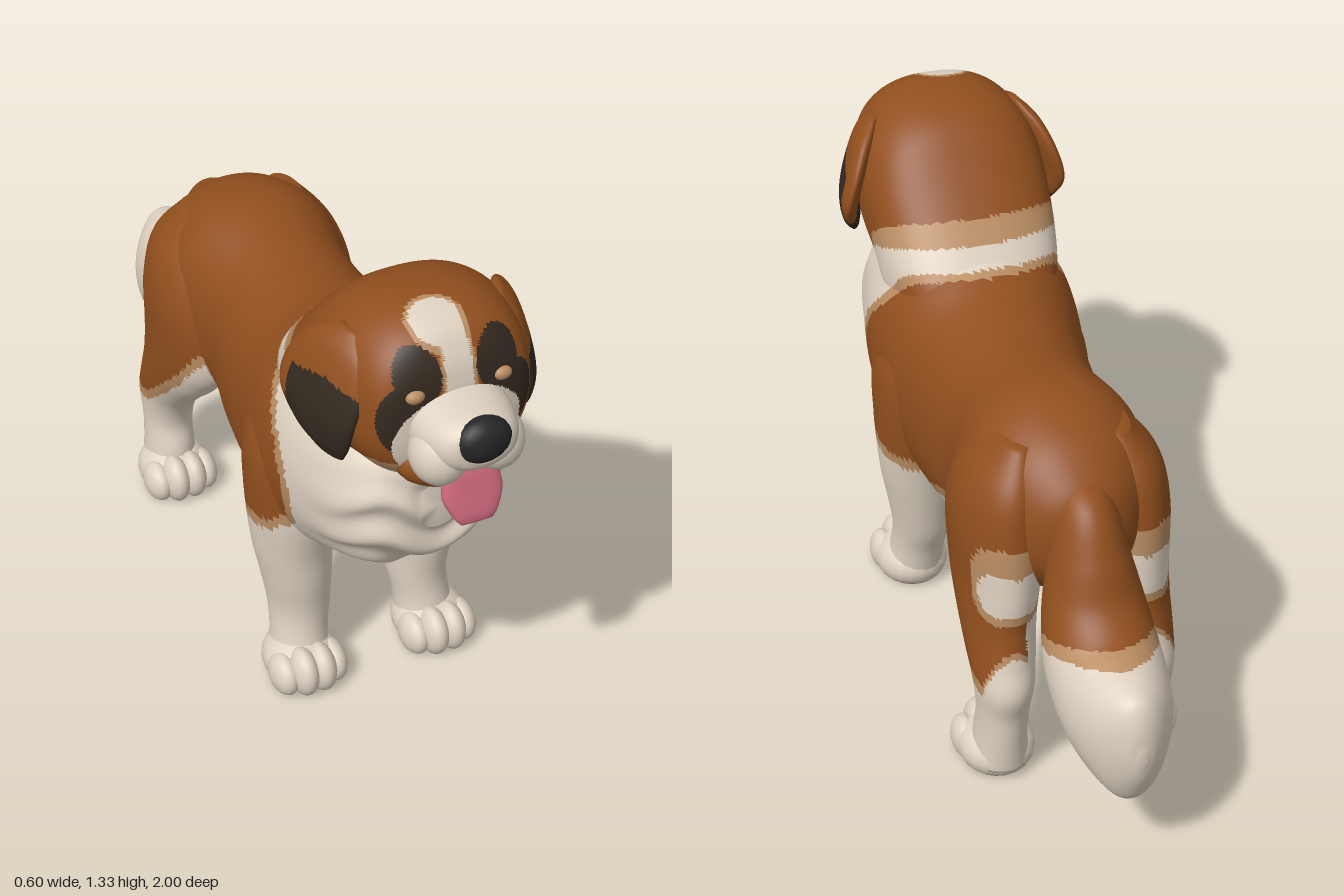
import * as THREE from 'three';

const mat = (name, color, side = THREE.FrontSide) => {
  const m = new THREE.MeshStandardMaterial({ color, side });
  m.name = name;
  return m;
};
const BROWN = 0, TAN = 1, WHITE = 2, DARK = 3, NOSE = 4, TONGUE = 5;

// Piecewise linear lookup in [[t, value], ...]
function lin(table, t) {
  if (t <= table[0][0]) return table[0][1];
  for (let i = 1; i < table.length; i++) {
    const [t0, v0] = table[i - 1], [t1, v1] = table[i];
    if (t <= t1) return v0 + (v1 - v0) * (t - t0) / (t1 - t0);
  }
  return table[table.length - 1][1];
}
const inEllipse = (a, b, ca, cb, ra, rb) => ((a - ca) / ra) ** 2 + ((b - cb) / rb) ** 2 < 1;
const fringe = (d, margin = 0.033) => (d > 0 ? BROWN : d > -margin ? TAN : WHITE);

// Coat patterns: each maps a point to a colour
const saddleLow = [[-0.57, 0.45], [-0.53, 0.3], [-0.45, 0.32], [-0.35, 0.41], [-0.25, 0.51], [-0.16, 0.63],
  [-0.1, 0.55], [0, 0.54], [0.1, 0.48], [0.25, 0.49], [0.4, 0.53], [0.47, 0.6]];
const saddleFront = [[0.5, 0.42], [0.6, 0.46], [0.7, 0.47], [0.8, 0.43], [0.9, 0.34], [1, 0.2], [1.1, 0.17]];
const headLow = [[0.28, 1.14], [0.4, 1.05], [0.5, 0.97], [0.62, 0.9], [0.7, 0.93], [0.78, 0.99]];
const headFringe = [[0.97, 0.035], [1.07, 0.1]];

function coat(x, y, z) {
  if (z < -0.1 && Math.abs(x) < 0.14 && y < 0.53) return WHITE;
  const front = lin(saddleFront, y) + 15 * x * x * Math.max(0, y - 0.9);
  return fringe(Math.min(y - lin(saddleLow, z), front - z));
}
function hindCoat(x, y, z) {
  if (inEllipse(z, y, -0.53, 0.56, 0.05, 0.06)) return WHITE;
  if (inEllipse(z, y, -0.53, 0.585, 0.08, 0.11)) return TAN;
  return coat(x, y, z);
}
function headCoat(x, y, z) {
  const ax = Math.abs(x);
  if (z > 0.79 && inEllipse(ax, y, 0, 1.05, 0.16, 0.125)) return WHITE;
  if (z > 0.69 && y > 1.1) {
    if (inEllipse(x, z, -0.025, 0.755, 0.06, 0.055) || (z > 0.75 && ax < 0.034)) return WHITE;
    if (inEllipse(x, z, -0.025, 0.755, 0.07, 0.065) || (z > 0.75 && ax < 0.043)) return TAN;
  }
  if (z > 0.73 && (inEllipse(ax, y, 0.098, 1.215, 0.055, 0.07) || inEllipse(ax, y, 0.135, 1.115, 0.058, 0.088))) return DARK;
  const d = y - lin(headLow, z - 0.8 * x * x * (z < 0.5));
  return d > -lin(headFringe, y) ? fringe(d, 1) : coat(x, y, z);
}
const earCoat = (x, y, z) => (y < 1.17 - 0.25 * Math.abs(z - 0.68) && z > 0.565 ? DARK : BROWN);
const tailCoat = (x, y, z) => fringe(y - 0.5 + 0.28 * (z + 0.57));
const pawCoat = (x, y) => (y < 0.008 ? TAN : WHITE);
const jawCoat = (x, y) => fringe(y - 0.935, 0.02);

export function createModel() {
  const dog = new THREE.Group();
  dog.name = 'dog';
  const mats = [mat('brown coat', 0x914f1e), mat('tan fringe', 0xb98d63), mat('cream fur', 0xded1c1),
    mat('dark mask', 0x33291f), mat('nose black', 0x262628), mat('tongue pink', 0xc9667a, THREE.DoubleSide)];

  // Sort triangles into material groups by the colour at their centre
  function add(name, geo, rule, parent = dog) {
    if (typeof rule === 'number') {
      const plain = new THREE.Mesh(geo, mats[rule]);
      plain.name = name;
      parent.add(plain);
      return;
    }
    const p = geo.attributes.position, idx = geo.index.array, sorted = mats.map(() => []);
    for (let i = 0; i < idx.length; i += 3) {
      const t = [idx[i], idx[i + 1], idx[i + 2]];
      const mean = (k) => (p.getComponent(t[0], k) + p.getComponent(t[1], k) + p.getComponent(t[2], k)) / 3;
      sorted[rule(mean(0), mean(1), mean(2))].push(...t);
    }
    geo.clearGroups();
    geo.setIndex(sorted.flat());
    let start = 0;
    sorted.forEach((list, m) => {
      if (list.length) geo.addGroup(start, list.length, m);
      start += list.length;
    });
    const mesh = new THREE.Mesh(geo, mats);
    mesh.name = name;
    parent.add(mesh);
  }

  // Smooth skin over sections [x, y, z, half width, half height, tilt in degrees]
  function loft(sections, { tilt = 0, n = 2, steps = 60, sides = 48, warp } = {}) {
    const path = new THREE.CatmullRomCurve3(sections.map((s) => new THREE.Vector3(s[0], s[1], s[2])), false, 'catmullrom');
    const size = new THREE.CatmullRomCurve3(sections.map((s) => new THREE.Vector3(s[3], s[4], s[5] ?? tilt)), false, 'catmullrom');
    const pos = [], index = [], e = 2 / n;
    const pow = (v) => Math.sign(v) * Math.abs(v) ** e;
    const put = (v) => { if (warp) warp(v); pos.push(v.x, v.y, v.z); };
    for (let i = 0; i <= steps; i++) {
      const c = path.getPoint(i / steps), s = size.getPoint(i / steps), a = s.z * Math.PI / 180;
      for (let j = 0; j < sides; j++) {
        const t = j / sides * Math.PI * 2;
        const u = Math.max(s.x, 0.002) * pow(Math.cos(t)), v = Math.max(s.y, 0.002) * pow(Math.sin(t));
        put(new THREE.Vector3(c.x + u, c.y + v * Math.cos(a), c.z + v * Math.sin(a)));
        const j2 = (j + 1) % sides, A = i * sides + j, B = i * sides + j2;
        if (i < steps) index.push(A, B, A + sides, B, B + sides, A + sides);
      }
    }
    const first = pos.length / 3, last = steps * sides;
    put(path.getPoint(0));
    put(path.getPoint(1));
    for (let j = 0; j < sides; j++) {
      const j2 = (j + 1) % sides;
      index.push(first, j2, j, first + 1, last + j, last + j2);
    }
    const g = new THREE.BufferGeometry();
    g.setAttribute('position', new THREE.Float32BufferAttribute(pos, 3));
    g.setIndex(index);
    g.computeVertexNormals();
    return g;
  }
  // Section along z from its top and bottom heights
  const slab = (z, top, bottom, rx) => [0, (top + bottom) / 2, z, rx, (top - bottom) / 2];

  function ball(x, y, z, rx, ry, rz, floor = false) {
    const g = new THREE.SphereGeometry(1, 20, 14).scale(rx, ry, rz).translate(x, y, z);
    if (floor) {
      const p = g.attributes.position;
      for (let i = 0; i < p.count; i++) p.setY(i, Math.max(p.getY(i), 0));
      g.computeVertexNormals();
    }
    return g;
  }

  // Torso, rump to chest, with shaggy ripples on the chest
  const shag = (v) => {
    const k = THREE.MathUtils.smoothstep(v.z, 0.48, 0.68) * THREE.MathUtils.smoothstep(0.9 - v.y, 0, 0.1);
    v.z += k * 0.012 * Math.sin(v.y * 50 + 2 * Math.cos(v.x * 22));
  };
  add('torso', loft([slab(-0.6, 0.8, 0.64, 0.05), slab(-0.55, 0.87, 0.57, 0.13), slab(-0.45, 0.945, 0.5, 0.2),
    slab(-0.3, 0.985, 0.46, 0.235), slab(-0.12, 0.965, 0.42, 0.212), slab(0, 0.957, 0.365, 0.225),
    slab(0.15, 0.975, 0.345, 0.245), slab(0.3, 1.03, 0.36, 0.27), slab(0.42, 1.04, 0.4, 0.275),
    slab(0.55, 1.02, 0.465, 0.255), slab(0.66, 0.98, 0.535, 0.225), slab(0.73, 0.935, 0.6, 0.175),
    slab(0.765, 0.89, 0.66, 0.1), slab(0.77, 0.84, 0.71, 0.05)], { n: 2.2, steps: 140, sides: 96, warp: shag }), coat);

  // Neck and skull
  add('neckAndHead', loft([slab(0.2, 0.95, 0.75, 0.16), slab(0.3, 1.07, 0.74, 0.205), slab(0.4, 1.18, 0.73, 0.232),
    slab(0.5, 1.28, 0.8, 0.24), slab(0.6, 1.322, 0.85, 0.245), slab(0.7, 1.33, 0.88, 0.23), slab(0.78, 1.305, 0.9, 0.21),
    slab(0.825, 1.25, 0.94, 0.18), slab(0.845, 1.19, 1, 0.12), slab(0.85, 1.14, 1.06, 0.04)],
  { n: 2.4, steps: 120, sides: 120 }), headCoat);

  // Muzzle, jaw, nose and tongue
  add('muzzle', loft([slab(0.79, 1.19, 0.98, 0.12), slab(0.87, 1.172, 1.0, 0.122), slab(0.94, 1.165, 1.02, 0.1),
    slab(0.97, 1.15, 1.04, 0.075), slab(0.98, 1.12, 1.06, 0.04)], { n: 2.2, steps: 24, sides: 40 }), WHITE);
  add('jaw', ball(0, 0.975, 0.815, 0.14, 0.075, 0.085), jawCoat);
  add('nose', ball(0, 1.112, 0.957, 0.07, 0.058, 0.043), NOSE);
  add('tongue', loft([[0, 1.02, 0.86, 0.055, 0.016, 35], [0, 0.985, 0.9, 0.066, 0.018, 45],
    [0, 0.935, 0.922, 0.075, 0.018, 55], [0, 0.89, 0.942, 0.056, 0.016, 60], [0, 0.87, 0.95, 0.04, 0.01, 60]],
  { n: 3, steps: 20, sides: 24 }), TONGUE);

  // Bushy tail
  add('tail', loft([[0, 0.85, -0.42, 0.06, 0.07, 120], [0, 0.78, -0.52, 0.08, 0.112, 120], [0, 0.68, -0.585, 0.1, 0.115, 110],
    [0, 0.57, -0.625, 0.125, 0.125, 115], [0, 0.47, -0.69, 0.14, 0.15, 135], [0, 0.41, -0.78, 0.138, 0.165, 155],
    [0, 0.38, -0.87, 0.12, 0.17, 165], [0, 0.365, -0.945, 0.08, 0.16, 172], [0, 0.375, -0.985, 0.04, 0.09, 175],
    [0, 0.385, -1, 0.01, 0.02, 180]], { steps: 76, sides: 56 }), tailCoat);

  for (const s of [1, -1]) {
    const side = new THREE.Group();
    side.name = s > 0 ? 'leftSide' : 'rightSide';
    dog.add(side);

    // Jowl and eye
    add('jowl', ball(s * 0.07, 1.045, 0.885, 0.068, 0.078, 0.075), WHITE, side);
    add('eye', ball(s * 0.108, 1.178, 0.838, 0.023, 0.017, 0.016), TAN, side);

    // Hanging ear, flared at the back
    add('ear', loft([[s * 0.19, 1.27, 0.65, 0.012, 0.03], [s * 0.213, 1.225, 0.65, 0.028, 0.09], [s * 0.238, 1.15, 0.645, 0.032, 0.125],
      [s * 0.258, 1.07, 0.645, 0.03, 0.125], [s * 0.257, 1, 0.66, 0.026, 0.09], [s * 0.25, 0.955, 0.675, 0.014, 0.05]],
    { tilt: 90, steps: 44, warp: (v) => { v.x += s * (0.64 - v.z) * 0.25; } }), earCoat, side);

    // Legs
    add('frontLeg', loft([[0.18, 0.03, 0.38, 0.08, 0.09], [0.172, 0.12, 0.355, 0.073, 0.082], [0.165, 0.2, 0.335, 0.079, 0.092],
      [0.17, 0.3, 0.328, 0.09, 0.108], [0.177, 0.4, 0.322, 0.1, 0.122], [0.182, 0.55, 0.32, 0.105, 0.15],
      [0.18, 0.7, 0.32, 0.103, 0.155], [0.16, 0.85, 0.3, 0.07, 0.11]].map(([x, ...r]) => [s * x, ...r]), { tilt: -90 }), coat, side);
    add('hindLeg', loft([[0.19, 0.03, -0.47, 0.075, 0.085], [0.188, 0.12, -0.478, 0.066, 0.085], [0.185, 0.2, -0.49, 0.066, 0.08],
      [0.182, 0.28, -0.485, 0.075, 0.103], [0.178, 0.36, -0.44, 0.085, 0.128], [0.172, 0.45, -0.385, 0.094, 0.165],
      [0.165, 0.55, -0.352, 0.103, 0.2], [0.16, 0.7, -0.345, 0.11, 0.2], [0.15, 0.82, -0.36, 0.09, 0.16],
      [0.12, 0.92, -0.38, 0.04, 0.07]].map(([x, ...r]) => [s * x, ...r]), { tilt: -90, steps: 100, sides: 56 }), hindCoat, side);

    // Paws with four toes each
    for (const [name, x, z] of [['frontPaw', 0.183, 0.39], ['hindPaw', 0.19, -0.445]]) {
      const paw = new THREE.Group();
      paw.name = name;
      side.add(paw);
      add('foot', ball(s * x, 0.045, z, 0.098, 0.075, 0.108, true), pawCoat, paw);
      [-0.066, -0.024, 0.024, 0.066].forEach((dx) => {
        const mid = Math.abs(dx) < 0.05;
        add('toe', ball(s * x + dx, mid ? 0.055 : 0.042, z + (mid ? 0.072 : 0.046), 0.037, mid ? 0.066 : 0.056, 0.062, true), pawCoat, paw);
      });
    }
  }
  return dog;
}
